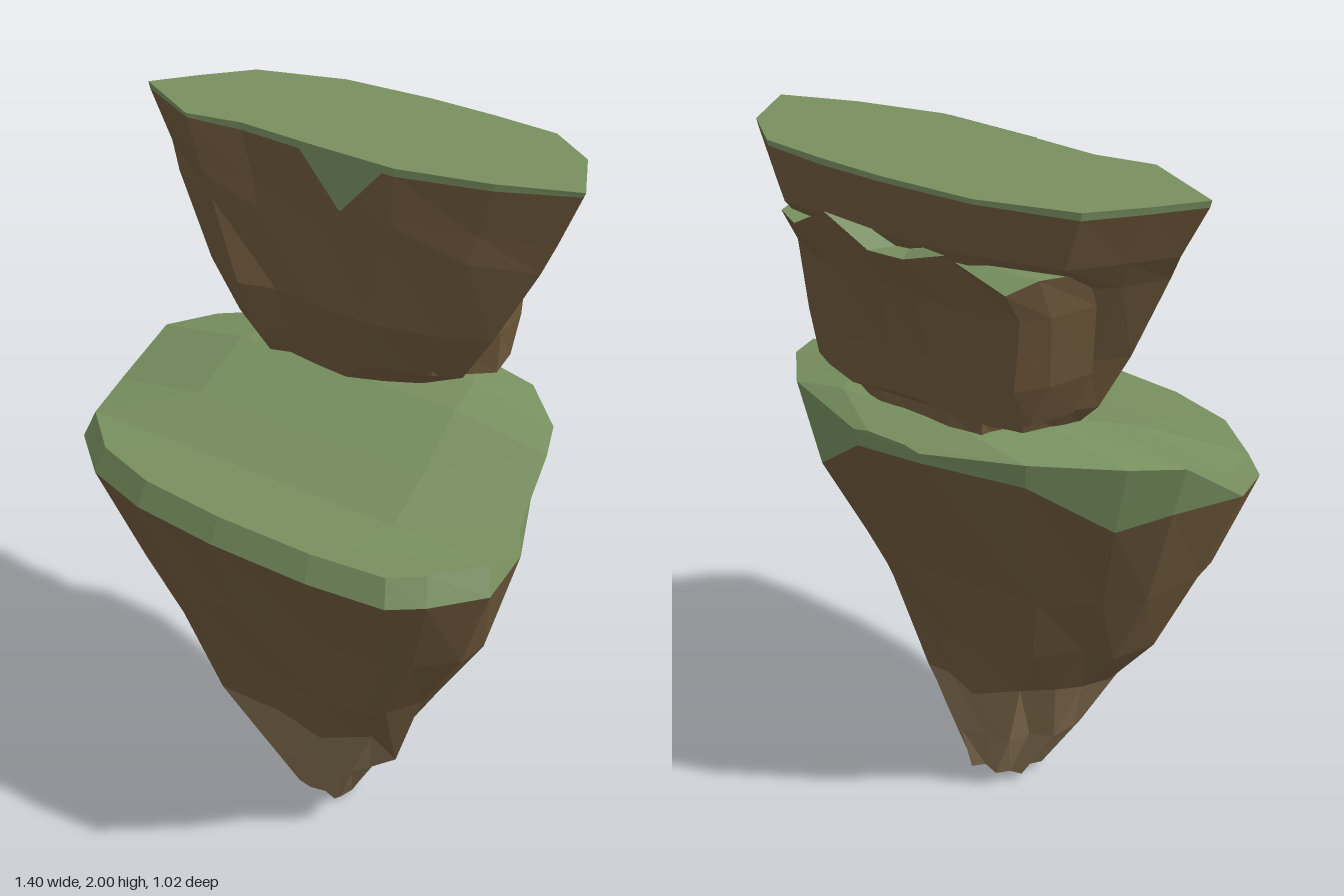
import * as THREE from 'three';

const mat = (color) => new THREE.MeshStandardMaterial({ color, flatShading: true, side: THREE.DoubleSide });
const grass = mat(0x789060), rock = mat(0x6f593c), paleRock = mat(0x877253);

// Small seeded noise in -1..1
let seed = 7;
const noise = () => ((seed = (seed * 16807) % 2147483647) / 2147483647) * 2 - 1;

// Rings run counter-clockwise seen from above
function geometry(tris) {
  const g = new THREE.BufferGeometry();
  g.setAttribute('position', new THREE.Float32BufferAttribute(tris.flat(), 3));
  g.computeVertexNormals();
  return g;
}

// Skin stacked rings from the top one down
function skin(rings) {
  const t = [];
  for (let r = 0; r < rings.length - 1; r++) {
    const a = rings[r], b = rings[r + 1];
    a.forEach((p, i) => {
      const j = (i + 1) % a.length;
      t.push(p, b[i], b[j], p, b[j], a[j]);
    });
  }
  return t;
}

// Fan over a ring, facing up or down
function cap(ring, up, lift = 0) {
  const c = [0, 1, 2].map((k) => ring.reduce((s, p) => s + p[k], 0) / ring.length);
  c[1] += lift;
  return ring.flatMap((p, i) => {
    const q = ring[(i + 1) % ring.length];
    return up ? [c, p, q] : [c, q, p];
  });
}

// Fit an [x, z] outline into a level [y, xMin, xMax, zMin, zMax]
function fit(outline, [y, x0, x1, z0, z1], rough = 0, roughY = rough) {
  const xs = outline.map((p) => p[0]), zs = outline.map((p) => p[1]);
  const ax = Math.min(...xs), bx = Math.max(...xs), az = Math.min(...zs), bz = Math.max(...zs);
  return outline.map(([x, z]) => [
    x0 + ((x - ax) / (bx - ax)) * (x1 - x0) + noise() * rough,
    y + noise() * roughY,
    z0 + ((z - az) / (bz - az)) * (z1 - z0) + noise() * rough,
  ]);
}

function add(parent, name, tris, material) {
  const m = new THREE.Mesh(geometry(tris), material);
  m.name = name;
  parent.add(m);
}

function lowerIsland() {
  const g = new THREE.Group();
  g.name = 'lowerIsland';
  // z, low x, high x, rock rim y at low x and high x, grass edge y, grass middle y
  const stations = [
    [0.51, 0.0, 0.3, 1.1, 1.1, 1.17, 1.17],
    [0.485, -0.27, 0.52, 1.1, 1.1, 1.17, 1.17],
    [0.42, -0.48, 0.6, 1.1, 1.1, 1.17, 1.17],
    [0.29, -0.64, 0.7, 1.1, 1.1, 1.17, 1.175],
    [0.13, -0.685, 0.69, 1.12, 1.13, 1.19, 1.24],
    [-0.1, -0.655, 0.62, 1.14, 1.15, 1.285, 1.33],
    [-0.22, -0.56, 0.57, 1.1, 1.2, 1.3, 1.35],
    [-0.37, -0.36, 0.42, 1.24, 1.06, 1.31, 1.34],
    [-0.47, -0.1, 0.12, 1.27, 1.25, 1.3, 1.31],
  ];
  const around = (f) => [
    ...stations.map((s) => f(s, s[2], s[4])),
    ...[...stations].reverse().map((s) => f(s, s[1], s[3])),
  ];
  const edgePoint = (s, x) => [x * (s[0] > 0 ? 0.965 : 1), s[5], s[0] > 0 ? s[0] - 0.03 : s[0]];
  const rim = around((s, x, y) => {
    const k = s[0] > 0 ? 1 : 1 - (s[5] - y) * 0.4;
    return [x * k, y, s[0] * k];
  });
  const edge = around(edgePoint);

  // Grass: outer lip, then strips over the raised back
  const top = skin([edge, rim]);
  const rows = stations.map((s) => {
    const l = edgePoint(s, s[1]), r = edgePoint(s, s[2]);
    const mid = (u) => [l[0] + (r[0] - l[0]) * u, s[6], l[2]];
    return [l, mid(0.22), mid(0.78), r];
  });
  for (let i = 0; i < rows.length - 1; i++) {
    for (let k = 0; k < 3; k++) {
      const a = rows[i], b = rows[i + 1];
      top.push(a[k], a[k + 1], b[k + 1], a[k], b[k + 1], b[k]);
    }
  }
  // Thin back wall between the raised middle and the edge
  const last = rows[rows.length - 1];
  top.push(last[0], last[1], last[2], last[0], last[2], last[3]);
  add(g, 'lowerGrass', top, grass);

  // Tapering rock body
  const outline = rim.map((p) => [p[0], p[2]]);
  const levels = [
    [0.82, -0.565, 0.6, -0.305, 0.405],
    [0.58, -0.44, 0.46, -0.215, 0.325],
    [0.38, -0.32, 0.36, -0.175, 0.265],
  ].map((l, i) => fit(outline, l, 0.008, i === 2 ? 0.05 : 0.025));
  add(g, 'lowerRock', skin([rim, ...levels]), rock);

  // Pale foot with fissures at the back
  const foot = [
    [0.2, -0.21, 0.24, -0.145, 0.2],
    [0.032, -0.1, 0.135, -0.115, 0.11],
  ].map((l, n) => fit(outline, l, 0.004, 0.01).map(([x, y, z], i) => {
    const groove = z < 0.03 && i % 2 ? 0.8 : 1;
    return [x * groove, y + (n ? -z * 0.25 : 0), z * groove];
  }));
  add(g, 'lowerFoot', [...skin([levels[2], ...foot]), ...cap(foot[1], false, 0.03)], paleRock);
  return g;
}

function upperIsland() {
  const g = new THREE.Group();
  g.name = 'upperIsland';
  const outline = [
    [-0.3, -0.03], [-0.06, -0.012], [0.2, 0], [0.45, -0.06], [0.65, -0.14], [0.55, -0.33], [0.4, -0.44],
    [0.2, -0.46], [0, -0.47], [-0.27, -0.46], [-0.52, -0.38], [-0.62, -0.25], [-0.7, -0.13], [-0.46, 0],
  ];
  const top = fit(outline, [2, -0.7, 0.65, -0.47, 0]);
  const lip = fit(outline, [1.985, -0.695, 0.645, -0.47, 0], 0, 0.006);
  add(g, 'upperGrass', [...cap(top, true), ...skin([top, lip])], grass);

  // Rock body narrowing to the neck
  const levels = [
    [1.85, -0.625, 0.585, -0.455, -0.003],
    [1.77, -0.585, 0.545, -0.4, -0.006],
    [1.55, -0.475, 0.44, -0.36, -0.012],
    [1.4, -0.4, 0.33, -0.35, -0.05],
    [1.34, -0.36, 0.2, -0.33, -0.07],
  ].map((l, i) => fit(outline, l, i === 0 ? 0.004 : 0.007));
  add(g, 'upperRock', [...skin([lip, ...levels]), ...cap(levels[4], false)], rock);

  // Grass tongue hanging over the front lip
  add(g, 'grassTongue', [[-0.11, 1.998, -0.008], [0.04, 1.85, 0.006], [0.18, 1.998, 0.005]], grass);

  // Rough ledge behind the body
  const ledgeOutline = [
    [-0.3, -0.2], [0.25, -0.2], [0.38, -0.32], [0.36, -0.43], [0.27, -0.48], [0.15, -0.51],
    [0.02, -0.49], [-0.1, -0.5], [-0.23, -0.51], [-0.39, -0.49], [-0.44, -0.42], [-0.48, -0.3],
  ];
  const ledgeTop = fit(ledgeOutline, [1.82, -0.48, 0.39, -0.51, -0.2], 0.006, 0.018);
  ledgeTop[5][1] = 1.89;
  ledgeTop[8][1] = 1.87;
  const ledge = [
    [1.72, -0.48, 0.4, -0.455, -0.16],
    [1.52, -0.44, 0.4, -0.42, -0.1],
    [1.4, -0.37, 0.38, -0.41, -0.1],
    [1.37, -0.27, 0.28, -0.37, -0.14],
    [1.32, -0.25, 0.24, -0.37, -0.15],
  ].map((l) => fit(ledgeOutline, l, 0.007));
  add(g, 'ledgeGrass', cap(ledgeTop, true, -0.01), grass);
  add(g, 'ledgeRock', [...skin([ledgeTop, ...ledge]), ...cap(ledge[4], false)], rock);
  return g;
}

export function createModel() {
  seed = 7;
  const model = new THREE.Group();
  model.name = 'floatingIslands';
  model.add(lowerIsland(), upperIsland());
  return model;
}
